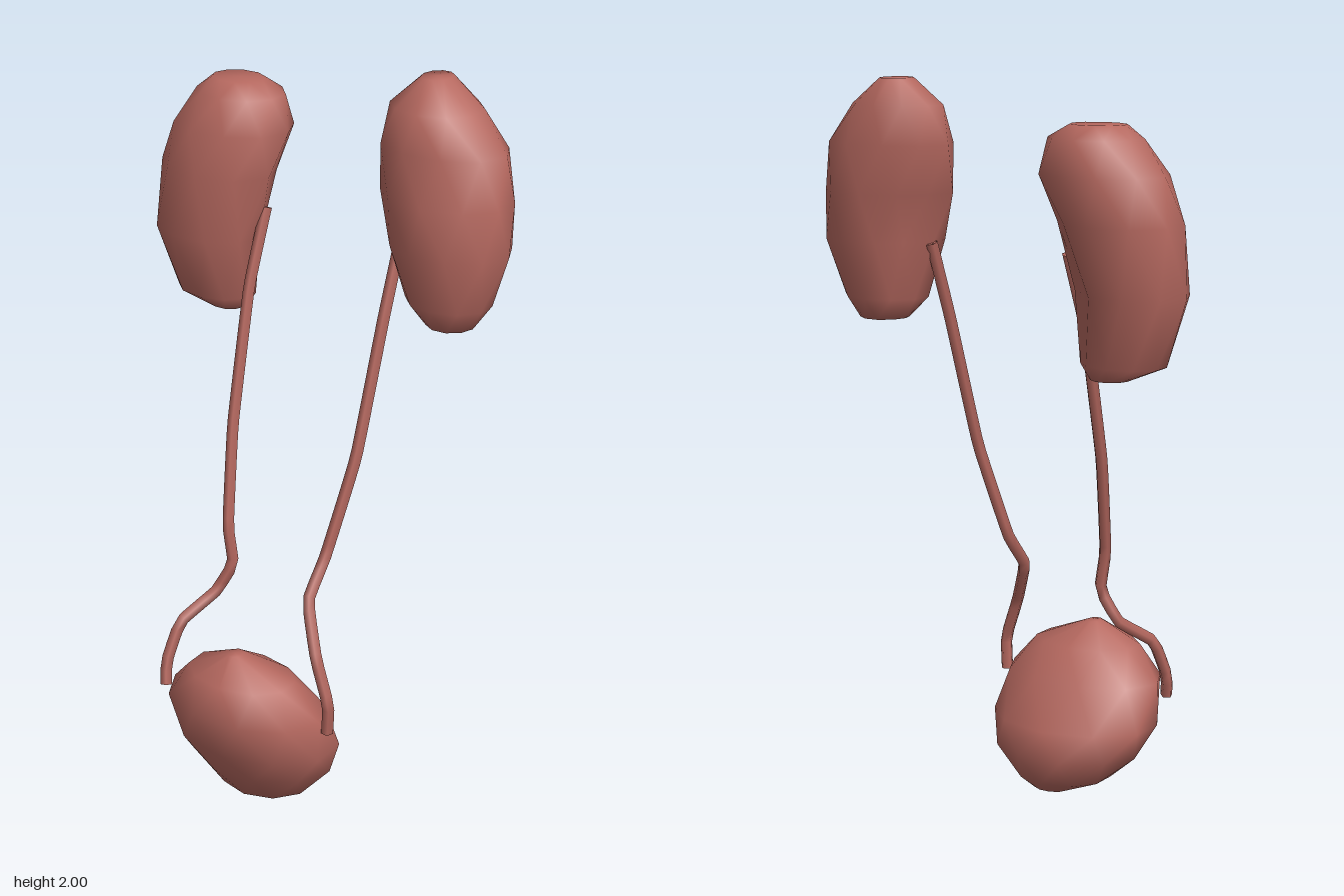
import * as THREE from 'three';

const material = new THREE.MeshStandardMaterial({ color: 0xb5685f, side: THREE.DoubleSide });
const SIDES = 10;

// Rounded organ lofted through level rings [y, xMin, xMax, zMin, zMax, dent],
// listed bottom to top. The dent pulls the surface in around dentAngle.
function organ(name, rings, dentAngle = 0) {
  const pos = [], index = [];
  rings.forEach(([y, x0, x1, z0, z1, dent = 0], i) => {
    for (let j = 0; j < SIDES; j++) {
      const a = ((j + (i % 2) * 0.5) / SIDES) * Math.PI * 2;
      const d = Math.atan2(Math.sin(a - dentAngle), Math.cos(a - dentAngle));
      const r = 1.02 * (1 - dent * Math.exp(-d * d * 3));
      pos.push((x0 + x1) / 2 + (x1 - x0) / 2 * r * Math.cos(a), y,
        (z0 + z1) / 2 + (z1 - z0) / 2 * r * Math.sin(a));
    }
  });
  for (let i = 0; i < rings.length - 1; i++) {
    for (let j = 0; j < SIDES; j++) {
      const k = (j + 1) % SIDES;
      const a = i * SIDES + j, b = i * SIDES + k, c = a + SIDES, d = b + SIDES;
      // odd rings are turned half a step, so the diagonal alternates
      if (i % 2) index.push(a, d, b, a, c, d);
      else index.push(a, c, b, b, c, d);
    }
  }
  // closing fans
  const last = (rings.length - 1) * SIDES;
  const bottom = pos.length / 3, top = bottom + 1;
  for (const [y, x0, x1, z0, z1] of [rings[0], rings[rings.length - 1]]) {
    pos.push((x0 + x1) / 2, y, (z0 + z1) / 2);
  }
  for (let j = 0; j < SIDES; j++) {
    const k = (j + 1) % SIDES;
    index.push(j, k, bottom, last + j, top, last + k);
  }
  const geo = new THREE.BufferGeometry();
  geo.setAttribute('position', new THREE.Float32BufferAttribute(pos, 3));
  geo.setIndex(index);
  geo.computeVertexNormals();
  const mesh = new THREE.Mesh(geo, material);
  mesh.name = name;
  return mesh;
}

// Thin duct along a path, with closed ends
function duct(name, points) {
  const group = new THREE.Group();
  group.name = name;
  const curve = new THREE.CatmullRomCurve3(points.map(p => new THREE.Vector3(...p)), false, 'catmullrom', 0.15);
  const tube = new THREE.Mesh(new THREE.TubeGeometry(curve, 36, 0.017, 5), material);
  tube.name = name + 'Tube';
  group.add(tube);
  for (const t of [0, 1]) {
    const cap = new THREE.Mesh(new THREE.CircleGeometry(0.016, 5), material);
    const p = curve.getPointAt(t);
    cap.position.copy(p);
    cap.lookAt(p.clone().addScaledVector(curve.getTangentAt(t), t ? 1 : -1));
    cap.name = name + 'End';
    group.add(cap);
  }
  return group;
}

export function createModel() {
  const model = new THREE.Group();
  model.name = 'urinarySystem';

  // bladder, leaning forward
  model.add(organ('bladder', [
    [0.005, 0.0, 0.1, 0.06, 0.13],
    [0.04, -0.1, 0.17, 0.02, 0.26],
    [0.12, -0.19, 0.235, -0.02, 0.305],
    [0.2, -0.225, 0.262, 0.0, 0.345],
    [0.32, -0.215, 0.25, 0.065, 0.38],
    [0.41, -0.14, 0.17, 0.13, 0.345],
    [0.468, -0.02, 0.02, 0.22, 0.27],
  ]));

  // kidneys, each with a hollow on the inner back side
  model.add(organ('leftKidney', [
    [1.36, 0.32, 0.45, -0.27, -0.14],
    [1.42, 0.255, 0.49, -0.31, -0.115],
    [1.57, 0.205, 0.54, -0.345, -0.085, 0.3],
    [1.7, 0.165, 0.53, -0.365, -0.095, 0.22],
    [1.83, 0.155, 0.512, -0.362, -0.115],
    [1.93, 0.18, 0.43, -0.352, -0.14],
    [2.0, 0.25, 0.33, -0.32, -0.22],
  ], Math.PI * 1.2));
  model.add(organ('rightKidney', [
    [1.26, -0.38, -0.28, -0.27, -0.18],
    [1.3, -0.48, -0.25, -0.3, -0.135],
    [1.48, -0.54, -0.205, -0.335, -0.09, 0.3],
    [1.66, -0.53, -0.168, -0.375, -0.095, 0.22],
    [1.78, -0.495, -0.15, -0.378, -0.11],
    [1.87, -0.43, -0.18, -0.36, -0.15],
    [1.905, -0.39, -0.24, -0.32, -0.2],
  ], -Math.PI * 0.2));

  // ureters from the kidneys down to the sides of the bladder
  model.add(duct('leftUreter', [
    [0.225, 1.57, -0.215], [0.22, 1.36, -0.14], [0.208, 1.0, -0.03], [0.17, 0.73, 0.06],
    [0.167, 0.63, 0.14], [0.23, 0.5, 0.2], [0.278, 0.38, 0.215], [0.272, 0.29, 0.21],
  ]));
  model.add(duct('rightUreter', [
    [-0.198, 1.57, -0.215], [-0.205, 1.36, -0.14], [-0.187, 1.0, -0.03], [-0.155, 0.73, 0.045],
    [-0.137, 0.62, 0.05], [-0.18, 0.53, 0.075], [-0.235, 0.46, 0.17], [-0.25, 0.35, 0.22], [-0.242, 0.29, 0.235],
  ]));

  return model;
}
